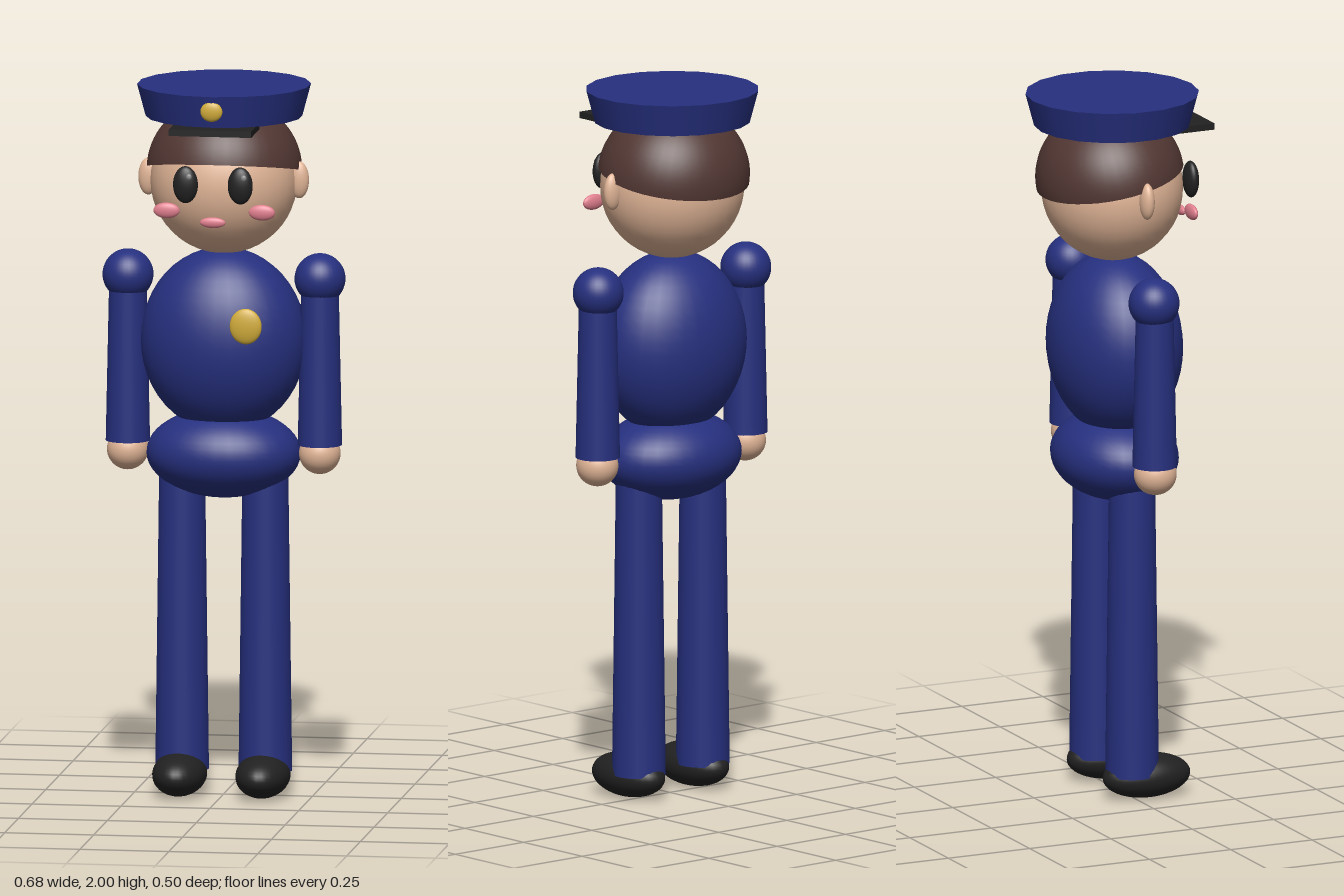
import * as THREE from 'three';

const material = (name, color) => {
  const m = new THREE.MeshStandardMaterial({ color });
  m.name = name;
  return m;
};

export function createModel() {
  const navy = material('navy cloth', 0x26307f);
  const skin = material('skin', 0xe0b496);
  const brown = material('brown hair', 0x523733);
  const black = material('black', 0x212121);
  const gold = material('gold', 0xd0ab3a);
  const pink = material('pink', 0xe07f8e);
  const grey = material('eye glint', 0x8a8a8a);
  brown.side = THREE.DoubleSide;

  const model = new THREE.Group();
  model.name = 'uniformedFigure';

  const add = (name, geometry, mat, x, y, z) => {
    const mesh = new THREE.Mesh(geometry, mat);
    mesh.name = name;
    mesh.position.set(x, y, z);
    model.add(mesh);
    return mesh;
  };
  // Ellipsoid given by its centre and three radii
  const ball = (name, mat, [x, y, z], [rx, ry, rz]) =>
    add(name, new THREE.SphereGeometry(1, 32, 24).scale(rx, ry, rz), mat, x, y, z);
  // Upright tapered cylinder between two heights
  const post = (name, mat, x, z, y0, y1, r0, r1, sides = 24) =>
    add(name, new THREE.CylinderGeometry(r1, r0, y1 - y0, sides), mat, x, (y0 + y1) / 2, z);

  // Body
  ball('torso', navy, [0, 1.28, -0.003], [0.232, 0.26, 0.181]);
  ball('hips', navy, [0, 0.963, -0.003], [0.216, 0.125, 0.17]);
  ball('chestBadge', gold, [0.09, 1.348, 0.18], [0.045, 0.05, 0.015]);

  // Head with a hair cap that is higher at the front
  ball('head', skin, [0, 1.729, -0.01], [0.205, 0.205, 0.196]);
  const hair = add('hair',
    new THREE.SphereGeometry(1, 40, 20, 0, Math.PI * 2, 0, Math.PI * 0.5).scale(0.216, 0.2, 0.206),
    brown, 0, 1.76, -0.017);
  hair.rotation.x = -0.2;
  ball('mouth', pink, [0, 1.641, 0.197], [0.036, 0.015, 0.01]);

  // Cap
  post('cap', navy, 0, -0.01, 1.91, 2, 0.218, 0.242, 18);
  add('capVisor', new THREE.BoxGeometry(0.232, 0.018, 0.15), black, 0, 1.9, 0.175);
  ball('capBadge', gold, [0, 1.957, 0.222], [0.031, 0.028, 0.012]);

  // Paired parts
  for (const [side, s] of [['left', 1], ['right', -1]]) {
    ball(side + 'Ear', skin, [s * 0.212, 1.735, -0.003], [0.028, 0.052, 0.02]);
    ball(side + 'Eye', black, [s * 0.077, 1.746, 0.195], [0.035, 0.052, 0.02]);
    ball(side + 'EyeGlint', grey, [s * 0.077 + 0.012, 1.77, 0.21], [0.008, 0.009, 0.006]);
    ball(side + 'Cheek', pink, [s * 0.134, 1.668, 0.17], [0.037, 0.022, 0.012]);

    ball(side + 'Shoulder', navy, [s * 0.27, 1.457, -0.009], [0.071, 0.071, 0.071]);
    post(side + 'Arm', navy, s * 0.27, -0.007, 0.99, 1.46, 0.062, 0.052);
    ball(side + 'Hand', skin, [s * 0.27, 0.966, -0.005], [0.058, 0.058, 0.06]);

    post(side + 'Leg', navy, s * 0.117, -0.004, 0.07, 0.93, 0.075, 0.064);
    ball(side + 'Shoe', black, [s * 0.117, 0.064, 0.04], [0.075, 0.06, 0.13]);
  }

  // Rest the soles on the ground
  model.children.filter((m) => m.name.endsWith('Shoe')).forEach((m) => { m.position.y = 0.062; m.scale.y = 0.062 / 0.06; });
  return model;
}
